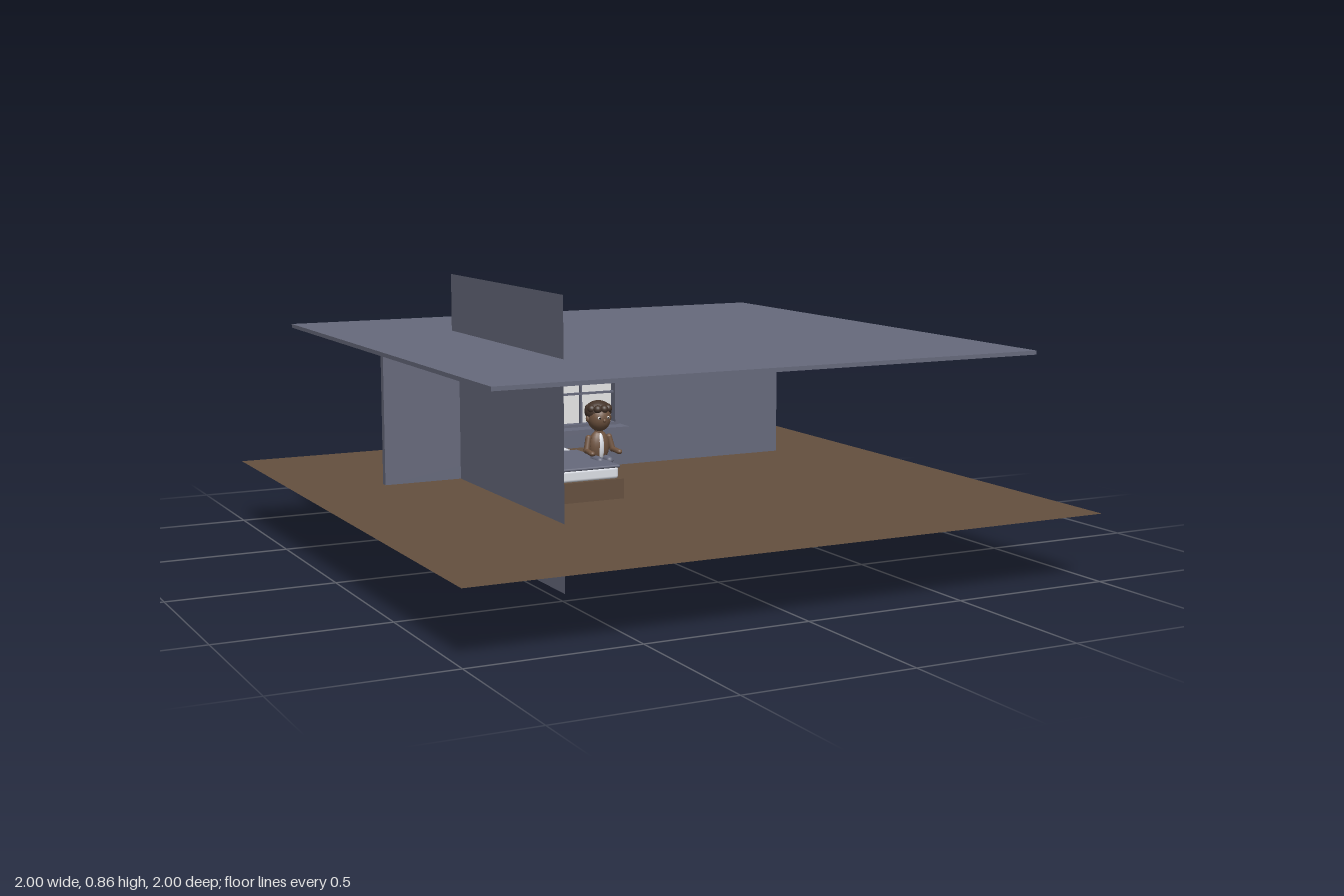
import * as THREE from 'three';
import { RoundedBoxGeometry } from 'three/addons/geometries/RoundedBoxGeometry.js';

const paint = (name, color, side = THREE.FrontSide) => {
  const m = new THREE.MeshStandardMaterial({ color, side });
  m.name = name;
  return m;
};

export function createModel() {
  const root = new THREE.Group();
  root.name = 'bedroom';
  const slate = paint('slate', 0x676a7c, THREE.DoubleSide);
  const earth = paint('earth brown', 0x64503f, THREE.DoubleSide);
  const wood = paint('wood', 0x65503f);
  const linen = paint('linen', 0xdcdfe6);
  const white = paint('white', 0xffffff);
  const skin = paint('skin', 0x705440);
  const hairBrown = paint('hair brown', 0x45342a);
  const dark = paint('dark', 0x241c18);

  const add = (name, geometry, material, x, y, z, parent = root) => {
    const mesh = new THREE.Mesh(geometry, material);
    mesh.name = name;
    mesh.position.set(x, y, z);
    parent.add(mesh);
    return mesh;
  };
  // Box given by its lower and upper corners
  const block = (name, material, [x0, y0, z0], [x1, y1, z1], parent = root) =>
    add(name, new THREE.BoxGeometry(x1 - x0, y1 - y0, z1 - z0), material,
      (x0 + x1) / 2, (y0 + y1) / 2, (z0 + z1) / 2, parent);
  // Soft-edged box given by its corners
  const soft = (name, material, [x0, y0, z0], [x1, y1, z1], r, parent = root) =>
    add(name, new RoundedBoxGeometry(x1 - x0, y1 - y0, z1 - z0, 3, r), material,
      (x0 + x1) / 2, (y0 + y1) / 2, (z0 + z1) / 2, parent);
  const ball = (name, material, p, s, parent) => {
    const mesh = add(name, new THREE.SphereGeometry(1, 20, 14), material, ...p, parent);
    mesh.scale.set(...s);
    return mesh;
  };
  // Rounded limb between two points
  const limb = (name, material, a, b, r, parent) => {
    const p = new THREE.Vector3(...a), q = new THREE.Vector3(...b);
    const mid = p.clone().add(q).multiplyScalar(0.5);
    const mesh = add(name, new THREE.CapsuleGeometry(r, p.distanceTo(q), 4, 12), material, mid.x, mid.y, mid.z, parent);
    mesh.quaternion.setFromUnitVectors(new THREE.Vector3(0, 1, 0), q.sub(p).normalize());
  };

  // Floor, ceiling and side wall
  add('floor', new THREE.PlaneGeometry(2, 2).rotateX(-Math.PI / 2), earth, 0, 0.203, 0);
  block('ceiling', slate, [-0.857, 0.662, -0.857], [0.857, 0.674, 0.857]);
  add('sideWall', new THREE.PlaneGeometry(0.855, 0.855).rotateY(Math.PI / 2), slate, -0.46, 0.4275, 0);

  // Back wall with a window opening
  const wall = new THREE.Shape([[-0.714, 0.203], [0.714, 0.203], [0.714, 0.662], [-0.714, 0.662]]
    .map(p => new THREE.Vector2(...p)));
  wall.holes.push(new THREE.Path([[-0.155, 0.343], [-0.155, 0.557], [0.095, 0.557], [0.095, 0.343]]
    .map(p => new THREE.Vector2(...p))));
  add('backWall', new THREE.ExtrudeGeometry(wall, { depth: 0.022, bevelEnabled: false }), slate, 0, 0, -0.389);

  // Window frame, bars, sill and the bright sky outside
  const win = new THREE.Group();
  win.name = 'window';
  root.add(win);
  for (const x of [-0.155, 0.094]) block('frameSide', slate, [x - 0.006, 0.338, -0.392], [x + 0.006, 0.563, -0.36], win);
  for (const y of [0.344, 0.557]) block('frameRail', slate, [-0.161, y - 0.006, -0.392], [0.1, y + 0.006, -0.36], win);
  block('uprightBar', slate, [-0.034, 0.343, -0.382], [-0.027, 0.557, -0.372], win);
  block('crossBar', slate, [-0.155, 0.446, -0.382], [0.095, 0.453, -0.372], win);
  block('sill', slate, [-0.17, 0.332, -0.367], [0.11, 0.341, -0.303], win);
  add('sky', new THREE.PlaneGeometry(0.5, 0.38), white, -0.03, 0.47, -0.472, win);

  // Bed
  const bed = new THREE.Group();
  bed.name = 'bed';
  root.add(bed);
  block('bedBase', wood, [-0.44, 0.203, -0.325], [-0.14, 0.264, 0.162], bed);
  soft('mattress', linen, [-0.43, 0.262, -0.313], [-0.15, 0.301, 0.15], 0.01, bed);
  soft('blanket', slate, [-0.433, 0.297, -0.155], [-0.147, 0.306, 0.153], 0.004, bed);
  soft('pillow', linen, [-0.38, 0.3, -0.305], [-0.2, 0.329, -0.228], 0.013, bed);

  // Bedside table with a drawer front
  const table = new THREE.Group();
  table.name = 'bedsideTable';
  root.add(table);
  block('tableBody', wood, [-0.125, 0.203, -0.277], [-0.04, 0.288, -0.205], table);

  // Person sitting on the edge of the bed
  const person = new THREE.Group();
  person.name = 'person';
  person.position.set(-0.152, 0, 0.012);
  root.add(person);
  ball('torso', skin, [0, 0.343, 0], [0.034, 0.05, 0.024], person);
  ball('shirtFront', linen, [0, 0.342, 0.006], [0.015, 0.046, 0.02], person);
  add('neck', new THREE.CylinderGeometry(0.012, 0.014, 0.03, 12), skin, 0, 0.39, 0, person);
  ball('head', skin, [0, 0.432, 0.004], [0.037, 0.042, 0.037], person);
  ball('nose', skin, [0, 0.427, 0.041], [0.005, 0.006, 0.006], person);
  ball('hair', hairBrown, [0, 0.451, -0.004], [0.043, 0.034, 0.037], person);
  // Curls around the crown
  for (let i = 0; i < 9; i++) {
    const a = i / 9 * Math.PI * 2;
    ball('curl', hairBrown, [Math.cos(a) * 0.03, 0.461, Math.sin(a) * 0.029], [0.013, 0.013, 0.013], person);
  }
  for (const s of [-1, 1]) {
    ball('eye', white, [s * 0.014, 0.435, 0.036], [0.006, 0.005, 0.004], person);
    ball('pupil', dark, [s * 0.014, 0.435, 0.0395], [0.003, 0.003, 0.002], person);
    ball('ear', skin, [s * 0.037, 0.43, 0], [0.006, 0.01, 0.007], person);
    limb('upperArm', skin, [s * 0.035, 0.37, 0], [s * 0.044, 0.332, 0.006], 0.0095, person);
    limb('forearm', skin, [s * 0.044, 0.332, 0.006], [s * 0.046, 0.329, 0.04], 0.008, person);
    ball('hand', skin, [s * 0.046, 0.329, 0.05], [0.009, 0.008, 0.01], person);
    limb('thigh', slate, [s * 0.016, 0.305, 0], [s * 0.016, 0.303, 0.043], 0.012, person);
    limb('shin', slate, [s * 0.016, 0.303, 0.043], [s * 0.016, 0.262, 0.043], 0.009, person);
    ball('shoe', linen, [s * 0.016, 0.25, 0.049], [0.01, 0.008, 0.017], person);
  }
  return root;
}
